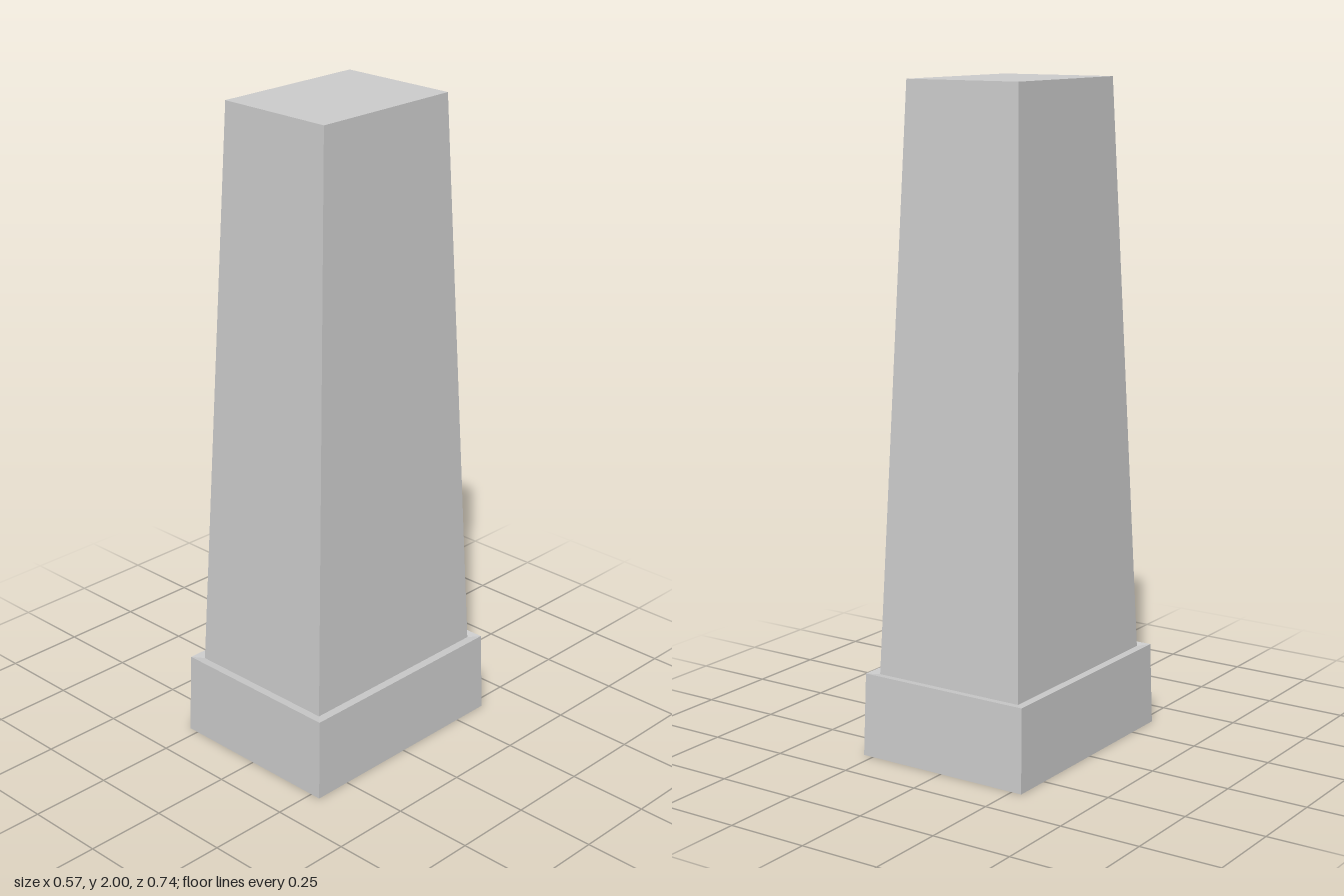
import * as THREE from 'three';

// Four flat walls joining two rectangles, each given as [halfX, y, halfZ]
function band(lower, upper) {
  const ring = ([x, y, z]) => [[x, y, z], [x, y, -z], [-x, y, -z], [-x, y, z]];
  const a = ring(lower), b = ring(upper), pos = [];
  for (let i = 0; i < 4; i++) {
    const j = (i + 1) % 4;
    pos.push(...a[i], ...a[j], ...b[j], ...a[i], ...b[j], ...b[i]);
  }
  const geo = new THREE.BufferGeometry();
  geo.setAttribute('position', new THREE.Float32BufferAttribute(pos, 3));
  geo.computeVertexNormals();
  return geo;
}

export function createModel() {
  const group = new THREE.Group();
  group.name = 'pillar';
  const stone = new THREE.MeshStandardMaterial({ color: 0xcccccc, side: THREE.DoubleSide });
  stone.name = 'lightGreyStone';
  const add = (name, geo) => {
    const mesh = new THREE.Mesh(geo, stone);
    mesh.name = name;
    group.add(mesh);
    return mesh;
  };

  const foot = [0.283, 0, 0.369];
  const plinthRim = [0.278, 0.254, 0.361];
  const shaftFoot = [0.247, 0.25, 0.332];
  const shaftTop = [0.191, 2, 0.248];

  // Hollow shell, open underneath
  add('plinth', band(foot, plinthRim));
  add('ledge', band(plinthRim, shaftFoot));
  add('shaft', band(shaftFoot, shaftTop));

  // Flat top
  const cap = add('cap', new THREE.PlaneGeometry(shaftTop[0] * 2, shaftTop[2] * 2).rotateX(-Math.PI / 2));
  cap.position.y = shaftTop[1];
  return group;
}
